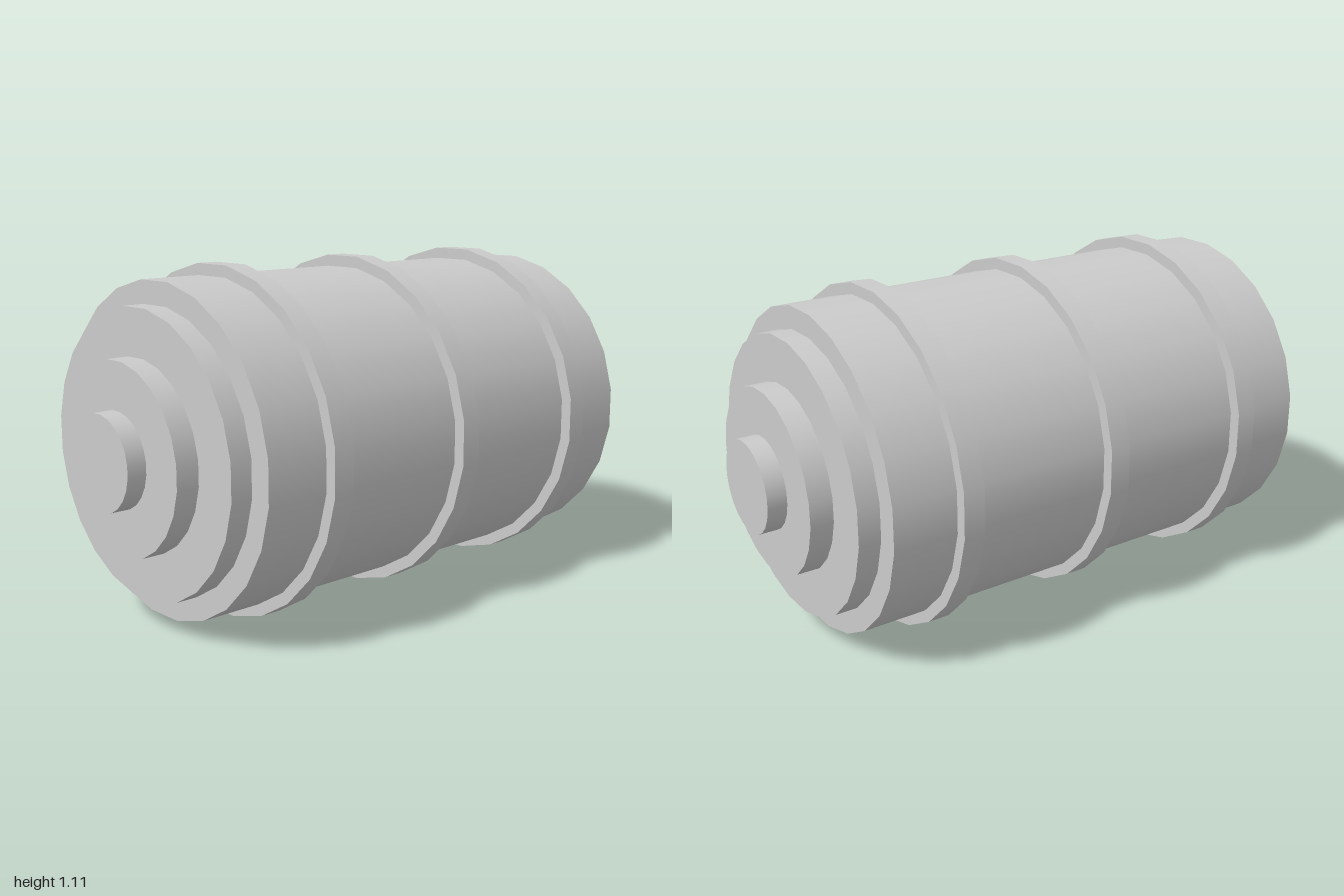
import * as THREE from 'three';

const SIDES = 24;
const AXIS_Y = 0.56 * Math.cos(Math.PI / SIDES); // barrel rests on a flat facet

export function createModel() {
  const group = new THREE.Group();
  group.name = 'barrel';
  const material = new THREE.MeshStandardMaterial({ color: 0xcccccc });

  // Capped cylinder lying along x from x0 to x1, flat facets at top and bottom
  function disc(name, radius, x0, x1) {
    const geometry = new THREE.CylinderGeometry(radius, radius, x1 - x0, SIDES, 1, false, Math.PI / SIDES);
    geometry.rotateZ(-Math.PI / 2);
    const mesh = new THREE.Mesh(geometry, material);
    mesh.name = name;
    mesh.position.set((x0 + x1) / 2, AXIS_Y, 0);
    group.add(mesh);
  }

  // Main drum
  disc('body', 0.5225, -0.79, 0.79);

  // Raised hoops around the drum
  [['rightHoop', -0.542], ['middleHoop', 0], ['leftHoop', 0.542]].forEach(([name, x]) =>
    disc(name, 0.56, x - 0.036, x + 0.036));

  // Stepped end caps, mirrored on both ends
  const steps = [
    ['EndPlate', 0.449, 0.79, 0.862],
    ['EndStep', 0.299, 0.862, 0.937],
    ['EndKnob', 0.149, 0.937, 1],
  ];
  for (const [name, radius, a, b] of steps) {
    disc('left' + name, radius, a, b);
    disc('right' + name, radius, -b, -a);
  }
  return group;
}
